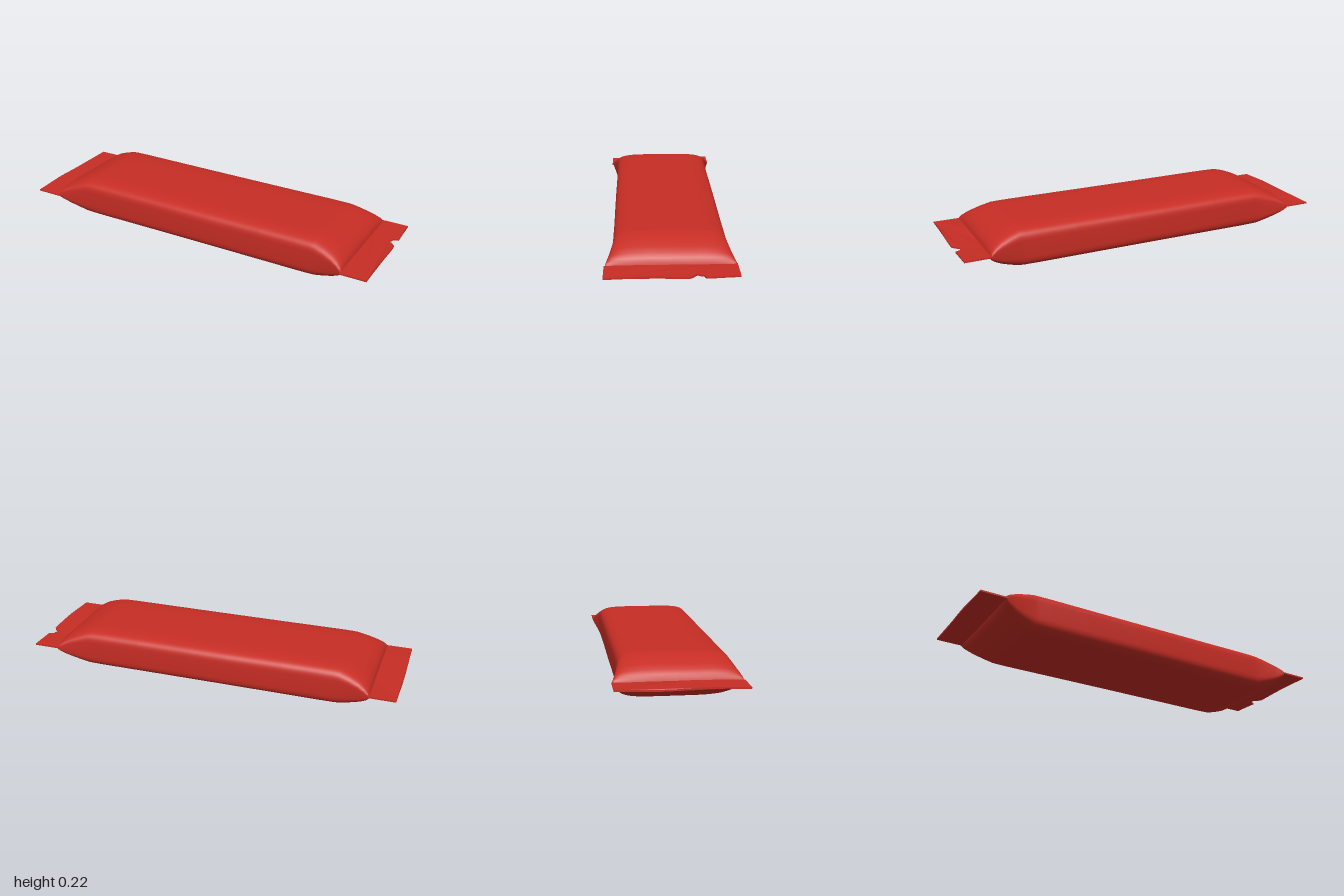
import * as THREE from 'three';

const MID_Y = 0.111;

// Half-sections along the length: [x, half depth, half height, squareness]
const HALF = [
  [0.1, 0.27, 0.109, 5], [0.4, 0.269, 0.11, 5], [0.6, 0.27, 0.11, 5],
  [0.67, 0.27, 0.109, 5], [0.7, 0.271, 0.107, 5], [0.75, 0.278, 0.092, 4.8],
  [0.8, 0.287, 0.072, 4.5], [0.83, 0.295, 0.054, 4.2], [0.85, 0.301, 0.036, 4],
  [0.858, 0.303, 0.02, 4], [0.862, 0.305, 0.006, 4],
];

const signedPow = (v, p) => Math.sign(v) * Math.abs(v) ** p;

// Puffy pillow lofted through rounded-rectangle sections, open at the seams
function pillowGeometry() {
  const sections = [...HALF.map(([x, ...r]) => [-x, ...r]).reverse(), ...HALF];
  const sides = 64;
  const positions = [];
  const indices = [];
  sections.forEach(([x, depth, height, n], i) => {
    for (let j = 0; j < sides; j++) {
      const t = (j / sides) * Math.PI * 2;
      positions.push(
        x,
        MID_Y + height * signedPow(Math.sin(t), 2 / n),
        depth * signedPow(Math.cos(t), 2 / n) - 0.002,
      );
      if (i === sections.length - 1) continue;
      const a = i * sides + j;
      const b = i * sides + ((j + 1) % sides);
      indices.push(a, a + sides, b + sides, a, b + sides, b);
    }
  });
  const geometry = new THREE.BufferGeometry();
  geometry.setAttribute('position', new THREE.Float32BufferAttribute(positions, 3));
  geometry.setIndex(indices);
  geometry.computeVertexNormals();
  return geometry;
}

// Flat crimped end strip; the torn one has a small notch in its outer edge
function finGeometry(side, torn) {
  const steps = 20;
  const width = 0.307;
  const points = [];
  for (let i = 0; i <= steps; i++) {
    points.push([0.855, -width + (2 * width * i) / steps]);
  }
  for (let i = steps; i >= 0; i--) {
    const z = -width + (2 * width * i) / steps;
    if (!torn || z < -0.155 || z > -0.07) points.push([0.998 + 0.002 * Math.cos(z * 10), z]);
    // Notch is inserted once, after the last point in front of it
    if (torn && z > -0.07 && z - (2 * width) / steps <= -0.07) {
      points.push([0.998, -0.078], [0.985, -0.095], [0.958, -0.114], [0.97, -0.13], [0.972, -0.144], [0.998, -0.153]);
    }
  }
  const shape = new THREE.Shape(points.map(([x, z]) => new THREE.Vector2(side * x, -z)));
  const geometry = new THREE.ExtrudeGeometry(shape, { depth: 0.008, bevelEnabled: false });
  geometry.rotateX(-Math.PI / 2);
  // Slight ripple across the strip
  const p = geometry.attributes.position;
  for (let i = 0; i < p.count; i++) {
    p.setY(i, p.getY(i) + MID_Y - 0.004 + 0.003 * Math.sin(p.getZ(i) * 14));
  }
  geometry.computeVertexNormals();
  return geometry;
}

export function createModel() {
  const model = new THREE.Group();
  model.name = 'snackWrapper';
  const red = new THREE.MeshStandardMaterial({ color: 0xc62d24, side: THREE.DoubleSide });
  red.name = 'wrapperRed';

  const add = (name, geometry) => {
    const mesh = new THREE.Mesh(geometry, red);
    mesh.name = name;
    model.add(mesh);
  };

  add('pillowBody', pillowGeometry());
  add('leftTornSeal', finGeometry(1, true));
  add('rightSeal', finGeometry(-1, false));
  return model;
}
